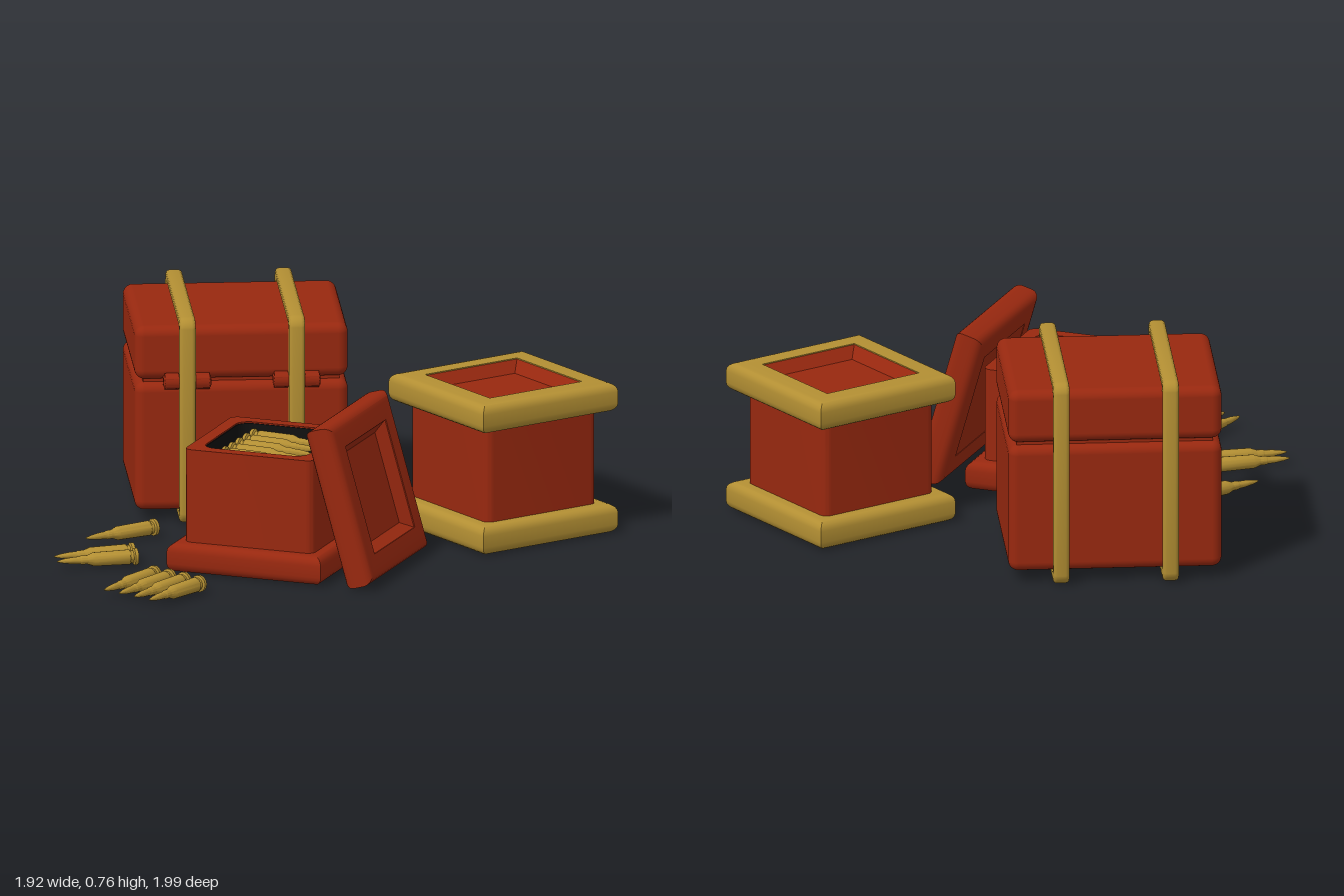
import * as THREE from 'three';
import { toCreasedNormals } from 'three/addons/utils/BufferGeometryUtils.js';
import { RoundedBoxGeometry } from 'three/addons/geometries/RoundedBoxGeometry.js';

const red = new THREE.MeshStandardMaterial({ color: 0x98280f });
const gold = new THREE.MeshStandardMaterial({ color: 0xb38f33 });
const black = new THREE.MeshStandardMaterial({ color: 0x101010 });

function add(parent, name, geometry, material, x = 0, y = 0, z = 0) {
  const mesh = new THREE.Mesh(geometry, material);
  mesh.name = name;
  mesh.position.set(x, y, z);
  parent.add(mesh);
  return mesh;
}

function group(parent, name, x, y, z, yaw) {
  const g = new THREE.Group();
  g.name = name;
  g.position.set(x, y, z);
  g.rotation.y = yaw;
  parent.add(g);
  return g;
}

// Sweeps a profile of [half width, height] around a square
function squareLathe(profile) {
  const pts = profile.map(([w, y]) => new THREE.Vector2(w * Math.SQRT2, y));
  return toCreasedNormals(new THREE.LatheGeometry(pts, 4, Math.PI / 4), 0.6);
}

function roundedRect(path, w, h, r) {
  const x = w / 2, y = h / 2;
  path.absarc(x - r, y - r, r, 0, Math.PI / 2);
  path.absarc(-x + r, y - r, r, Math.PI / 2, Math.PI);
  path.absarc(-x + r, -y + r, r, Math.PI, Math.PI * 1.5);
  path.absarc(x - r, -y + r, r, Math.PI * 1.5, Math.PI * 2);
  path.closePath();
  return path;
}

function ringShape(w, h, r, holeW, holeH, holeR) {
  const shape = roundedRect(new THREE.Shape(), w, h, r);
  if (holeW) shape.holes.push(roundedRect(new THREE.Path(), holeW, holeH, holeR));
  return shape;
}

// Upright prism standing on y = 0
function prism(shape, height) {
  const g = new THREE.ExtrudeGeometry(shape, { depth: height, bevelEnabled: false, curveSegments: 6 });
  return toCreasedNormals(g.rotateX(-Math.PI / 2), 0.6);
}

// Square frame with rounded outer edges and a sunken panel facing +y
const H = 0.105, HALF = 0.293, R = 0.032;
function framedPanel(parent, name, frameMaterial, depth) {
  const g = group(parent, name, 0, 0, 0, 0);
  const profile = [[0.2, 0]];
  for (const [cy, start] of [[R, -Math.PI / 2], [H - R, 0]]) {
    for (let i = 0; i <= 4; i++) {
      const a = start + (i / 4) * Math.PI / 2;
      profile.push([HALF - R + R * Math.cos(a), cy + R * Math.sin(a)]);
    }
  }
  profile.push([0.2, H], [0.2, 0]);
  add(g, 'frame', squareLathe(profile), frameMaterial);
  add(g, 'sunkenPanel', squareLathe([[0, 0.002], [0.2, 0.002], [0.2, H - 0.004], [0.168, H - depth], [0, H - depth]]), red);
  return g;
}

// Cartridge lathed along +y, base at the origin
const cartridgeGeometry = toCreasedNormals(new THREE.LatheGeometry([
  [0, 0], [0.03, 0], [0.031, 0.012], [0.023, 0.016], [0.023, 0.024], [0.027, 0.03],
  [0.025, 0.16], [0.016, 0.183], [0.016, 0.205], [0.0135, 0.21], [0.012, 0.24],
  [0.008, 0.27], [0.003, 0.291], [0, 0.295],
].map(([r, y]) => new THREE.Vector2(r, y)), 14), 0.55);

function cartridge(parent, x, y, z, dx, dz) {
  const mesh = add(parent, 'cartridge', cartridgeGeometry, gold, x, y, z);
  mesh.quaternion.setFromUnitVectors(new THREE.Vector3(0, 1, 0), new THREE.Vector3(dx, 0, dz).normalize());
}

function buildChest(root) {
  const chest = group(root, 'strappedChest', -0.48, 0, -0.54, 0.493);
  add(chest, 'chestBody', new RoundedBoxGeometry(0.76, 0.47, 0.64, 4, 0.035), red, 0, 0.275, 0);
  add(chest, 'chestLid', new RoundedBoxGeometry(0.76, 0.195, 0.64, 4, 0.035), red, 0, 0.618, 0);
  add(chest, 'lidSeam', new THREE.BoxGeometry(0.7, 0.06, 0.58), red, 0, 0.515, 0);

  // Straps wrap all the way round; each crosses a clasp
  const strapGeometry = toCreasedNormals(new THREE.ExtrudeGeometry(ringShape(0.735, 0.755, 0.045, 0.635, 0.665, 0.02), {
    depth: 0.03, bevelEnabled: true, bevelSize: 0.014, bevelThickness: 0.014,
    bevelOffset: -0.014, bevelSegments: 3, curveSegments: 5,
  }).translate(0, 0, -0.015).rotateY(Math.PI / 2), 0.6);
  for (const x of [-0.195, 0.195]) {
    add(chest, 'strap', strapGeometry, gold, x, 0.378, 0);
    add(chest, 'claspPlate', new RoundedBoxGeometry(0.17, 0.04, 0.05, 2, 0.008), red, x, 0.518, 0.325);
    for (const s of [-1, 1]) {
      const knuckle = add(chest, 'claspKnuckle', new THREE.CylinderGeometry(0.03, 0.03, 0.05, 8), red, x + s * 0.055, 0.518, 0.325);
      knuckle.rotation.z = Math.PI / 2;
    }
  }
}

function buildClosedBox(root) {
  const box = group(root, 'closedBox', 0.56, 0, -0.55, -0.536);
  add(box, 'boxBody', prism(ringShape(0.48, 0.48, 0.03), 0.36), red, 0, 0.1, 0);
  framedPanel(box, 'boxTop', gold, 0.045).position.y = 0.445;
  const base = framedPanel(box, 'boxBase', gold, 0.06);
  base.rotation.x = Math.PI;
  base.position.y = H;
}

function buildOpenBox(root) {
  const box = group(root, 'openBox', -0.005, 0, 0.195, 0.06);
  add(box, 'boxBody', prism(ringShape(0.49, 0.49, 0.03, 0.392, 0.392, 0.05), 0.345), red, 0, 0.1, 0);
  const base = framedPanel(box, 'boxBase', red, 0.06);
  base.rotation.x = Math.PI;
  base.position.y = H;

  // Dark lining and the floor the cartridges rest on
  add(box, 'lining', prism(ringShape(0.4, 0.4, 0.05, 0.384, 0.384, 0.046), 0.338), black, 0, 0.102, 0);
  add(box, 'floor', prism(ringShape(0.39, 0.39, 0.048), 0.26), black, 0, 0.105, 0);
  for (let i = 0; i < 6; i++) cartridge(root, -0.16 + i * 0.002, 0.395, 0.03 + i * 0.066, 1, 0);

  // Lid leaning on the side of the box
  const lean = group(root, 'leaningLid', 0.355, 0.294, 0.178, 0.055);
  const tilt = group(lean, 'lidTilt', 0, 0, 0, 0);
  tilt.rotation.z = -Math.PI / 2 + 0.28;
  framedPanel(tilt, 'boxLid', red, 0.04).position.y = -H / 2;
}

export function createModel() {
  const root = new THREE.Group();
  root.name = 'supplyCrates';
  buildChest(root);
  buildClosedBox(root);
  buildOpenBox(root);

  // Loose cartridges on the ground: one, a pair and a row of four
  const y = 0.034;
  cartridge(root, -0.52, y, 0.065, -0.16, 0.245);
  cartridge(root, -0.455, y, 0.4, -0.225, 0.19);
  cartridge(root, -0.412, y, 0.465, -0.225, 0.18);
  for (let i = 0; i < 4; i++) cartridge(root, -0.256 + i * 0.067, y, 0.655 + i * 0.019, -0.07, 0.28);
  return root;
}
